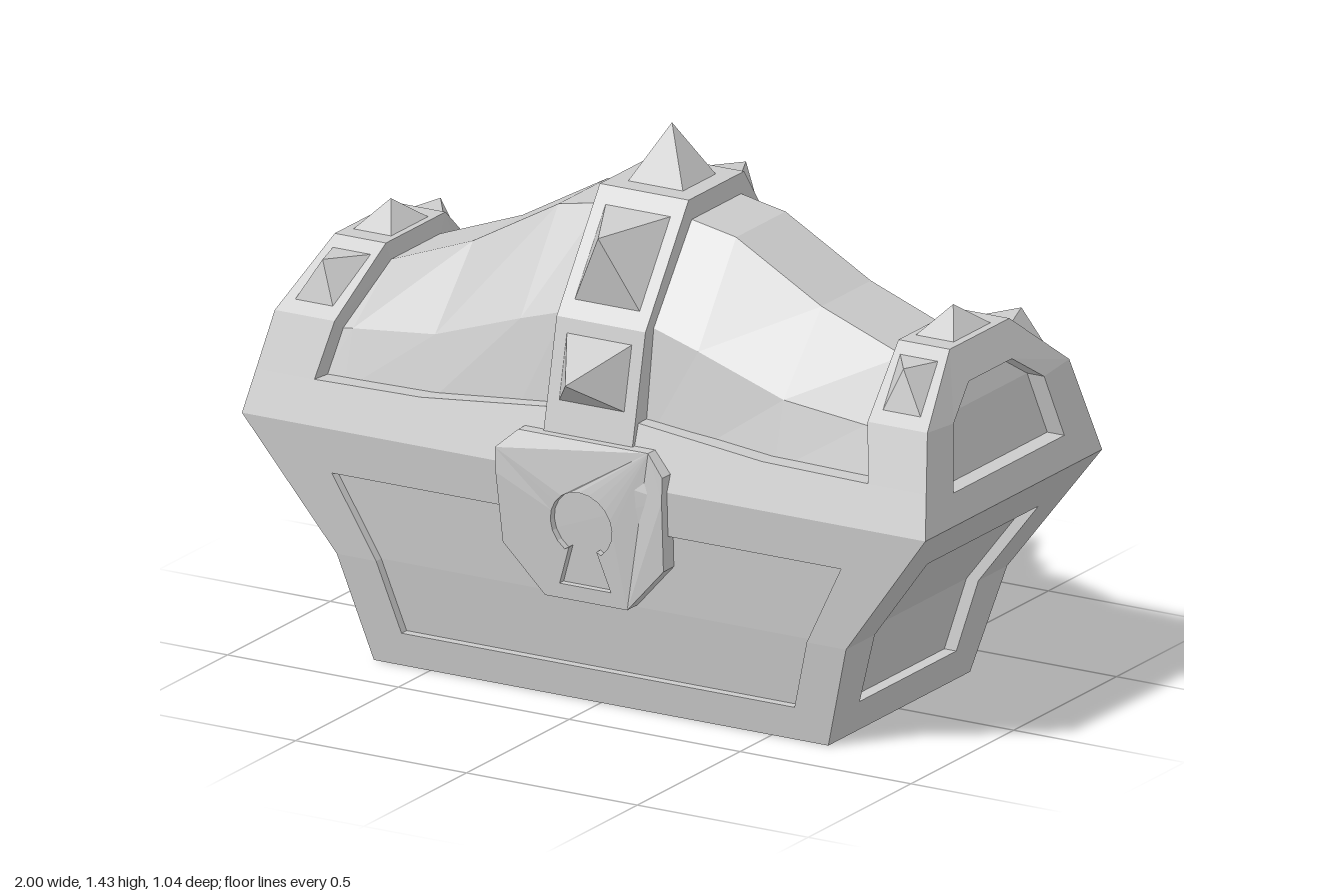
import * as THREE from 'three';

const material = new THREE.MeshStandardMaterial({ color: 0xcccccc, flatShading: true });

// Mesh from a list of polygons with corners counter-clockwise from outside
function polyMesh(name, polys) {
  const pos = [];
  for (const p of polys)
    for (let i = 1; i < p.length - 1; i++) pos.push(...p[0], ...p[i], ...p[i + 1]);
  const g = new THREE.BufferGeometry();
  g.setAttribute('position', new THREE.Float32BufferAttribute(pos, 3));
  return named(name, g);
}

function named(name, geometry) {
  geometry.computeVertexNormals();
  const m = new THREE.Mesh(geometry, material);
  m.name = name;
  return m;
}

// Quads between two open polylines
const strip = (a, b) => a.slice(1).map((_, i) => [a[i], b[i], b[i + 1], a[i + 1]]);

// Frame with a sunken panel; rows are [left, right] points from bottom to top
function framedPanel(name, outer, inner, offset) {
  const loop = rows => {
    const l = [...rows.map(r => r[1]), ...rows.map(r => r[0]).reverse()];
    return [...l, l[0]];
  };
  const sunk = inner.map(r => r.map(p => p.map((v, i) => v + offset[i])));
  const ring = (a, b) => a.slice(1).map((_, i) => [a[i], a[i + 1], b[i + 1], b[i]]);
  return polyMesh(name, [
    ...ring(loop(outer), loop(inner)),
    ...ring(loop(inner), loop(sunk)),
    ...strip(sunk.map(r => r[0]), sunk.map(r => r[1])),
  ]);
}

// Four-sided spike on a base centred at c with half-axes u and v
function spike(name, c, u, v, apex) {
  const corner = (a, b) => c.map((k, i) => k + a * u[i] + b * v[i]);
  const q = [corner(-1, -1), corner(1, -1), corner(1, 1), corner(-1, 1)];
  return polyMesh(name, q.map((p, i) => [p, q[(i + 1) % 4], apex]));
}

// Piecewise linear lookup in [key, value] pairs
function lookup(table, k) {
  let i = 1;
  while (i < table.length - 1 && k > table[i][0]) i++;
  const [[k0, v0], [k1, v1]] = [table[i - 1], table[i]];
  return v0 + (v1 - v0) * (k - k0) / (k1 - k0);
}

const sideX = y => lookup([[0, 0.665], [0.28, 0.745], [0.62, 1]], y);
const sideZ = y => lookup([[0, 0.345], [0.28, 0.392], [0.62, 0.43]], y);
const lidX = y => lookup([[0.62, 1], [0.875, 0.955], [1.03, 0.9]], y);
const mirrorZ = half => [...half, ...half.map(([x, y, z]) => [x, y, -z]).reverse()];

export function createModel() {
  const chest = new THREE.Group();
  chest.name = 'chest';

  // Parts that repeat after a half turn: front/back and the two ends
  for (const turn of [0, Math.PI]) {
    const half = new THREE.Group();
    half.name = turn ? 'backAndRightHalf' : 'frontAndLeftHalf';
    half.rotation.y = turn;
    chest.add(half);

    // Body walls with sunken panels
    const levels = [0, 0.28, 0.62];
    half.add(framedPanel('bodyWall',
      levels.map(y => [-1, 1].map(s => [s * sideX(y), y, sideZ(y)])),
      [[0.09, 0.575], [0.28, 0.63], [0.5, 0.745]].map(([y, x]) => [-1, 1].map(s => [s * x, y, sideZ(y)])),
      [0, 0, -0.025]));
    half.add(framedPanel('bodyEnd',
      levels.map(y => [1, -1].map(s => [sideX(y), y, s * sideZ(y)])),
      [[0.09, 0.235], [0.28, 0.252], [0.5, 0.27]].map(([y, z]) => [1, -1].map(s => [sideX(y), y, s * z])),
      [-0.035, 0, 0]));

    // Lid end with a sunken panel
    half.add(framedPanel('lidEnd',
      [[0.62, 0.43], [0.875, 0.345], [1.03, 0.145]].map(([y, z]) => [1, -1].map(s => [lidX(y), y, s * z])),
      [[0.7, 0.27], [0.865, 0.22], [0.94, 0.105]].map(([y, z]) => [1, -1].map(s => [lidX(y), y, s * z])),
      [-0.05, 0, 0]));

    // Band over the lid end and its inner step
    const profile = [[0.62, 0.43, 0.81], [0.73, 0.393, 0.81], [0.875, 0.345, 0.78], [1.03, 0.145, 0.75]];
    const inner = mirrorZ(profile.map(([y, z, x]) => [x, y, z]));
    const outer = mirrorZ(profile.map(([y, z]) => [lidX(y), y, z]));
    const drop = inner.map(([x, y, z]) => [x, y - 0.06, z * 0.82]);
    half.add(polyMesh('endBand', [...strip(inner, outer), ...strip(drop, inner)]));

    // Lower lid rail with its ledge
    const rail = [[-0.81, 0.73], [-0.5, 0.735], [-0.13, 0.77], [0.13, 0.77], [0.5, 0.735], [0.81, 0.73]];
    const low = rail.map(([x]) => [x, 0.62, 0.43]);
    const top = rail.map(([x, y]) => [x, y, 0.43 - (y - 0.62) * 0.335]);
    const back = rail.map(([x, y]) => [x, y, 0.3]);
    half.add(polyMesh('lidRail', [...strip(top, low), ...strip(back, top)]));

    // Spikes on the end band
    half.add(spike('endTopSpike', [0.823, 1.03, 0], [0.055, 0, 0], [0, 0, -0.09], [0.823, 1.095, 0]));
    for (const s of [1, -1])
      half.add(spike('endSlopeSpike', [0.845, 0.953, s * 0.245], [s * 0.055, 0, 0],
        [-0.015, 0.052, -s * 0.067], [0.85, 1.01, s * 0.287]));

    // Spikes on the centre band
    half.add(spike('upperSpike', [0, 1.145, 0.24], [0.095, 0, 0], [0, 0.104, -0.075], [0, 1.23, 0.36]));
    half.add(spike('lowerSpike', [0, 0.88, 0.372], [0.095, 0, 0], [0, 0.083, -0.0185], [0, 0.885, 0.52]));
  }

  chest.add(spike('crownSpike', [0, 1.29, 0], [0.08, 0, 0], [0, 0, -0.08], [0, 1.435, 0]));

  // Body floor
  chest.add(polyMesh('floor', [[[-0.665, 0, -0.345], [0.665, 0, -0.345], [0.665, 0, 0.345], [-0.665, 0, 0.345]]]));

  // Domed lid surface: x, shoulder height, top height
  const halfSections = [[0.82, 0.84, 0.955], [0.75, 0.85, 0.98], [0.51, 0.875, 1.07], [0.26, 0.96, 1.21], [0.13, 1.0, 1.235]];
  const sections = [...halfSections.map(([x, a, b]) => [-x, a, b]), ...[...halfSections].reverse()]
    .map(([x, shoulder, top]) => mirrorZ([[x, 0.7, 0.35], [x, shoulder, 0.305], [x, top, 0.12]]));
  chest.add(polyMesh('lidDome', sections.slice(1).flatMap((s, i) => strip(sections[i], s))));

  // Centre band across the lid
  const bandShape = new THREE.Shape([[0.43, 0.62], [0.345, 1], [0.135, 1.29], [-0.135, 1.29], [-0.345, 1], [-0.43, 0.62]]
    .map(([z, y]) => new THREE.Vector2(z, y)));
  const band = new THREE.ExtrudeGeometry(bandShape, { depth: 0.26, bevelEnabled: false });
  band.translate(0, 0, -0.13).rotateY(Math.PI / 2);
  chest.add(named('centreBand', band));

  // Lock plate following the wall slope, with a keyhole in its front layer
  const outline = [[0.12, 0.285], [0.235, 0.41], [0.243, 0.6], [0.245, 0.665], [0.19, 0.715]];
  const lockShape = () => new THREE.Shape([...outline, ...outline.map(([x, y]) => [-x, y]).reverse()]
    .map(([x, y]) => new THREE.Vector2(x, y)));
  const keyhole = new THREE.Path();
  keyhole.moveTo(-0.075, 0.325);
  keyhole.lineTo(-0.04, 0.43);
  keyhole.absarc(0, 0.495, 0.09, Math.PI * 1.3, -Math.PI * 0.3, true);
  keyhole.lineTo(0.04, 0.43);
  keyhole.lineTo(0.075, 0.325);
  keyhole.closePath();
  const front = lockShape();
  front.holes.push(keyhole);
  const lock = new THREE.Group();
  lock.name = 'lock';
  for (const [name, shape, z, depth] of [['lockPlate', front, -0.02, 0.02], ['lockBacking', lockShape(), -0.09, 0.07]]) {
    const g = new THREE.ExtrudeGeometry(shape, { depth, bevelEnabled: false, curveSegments: 8 });
    const p = g.attributes.position;
    for (let i = 0; i < p.count; i++) {
      const y = p.getY(i);
      const surface = lookup([[0.28, 0.417], [0.6, 0.455], [0.67, 0.455], [0.72, 0.43]], y);
      p.setZ(i, p.getZ(i) + z + surface);
    }
    lock.add(named(name, g));
  }
  chest.add(lock);

  // Hinges on the back
  for (const s of [-1, 1]) {
    const hinge = named('hinge', new THREE.BoxGeometry(0.245, 0.1, 0.05));
    hinge.position.set(s * 0.413, 0.617, -0.423);
    chest.add(hinge);
  }
  return chest;
}
